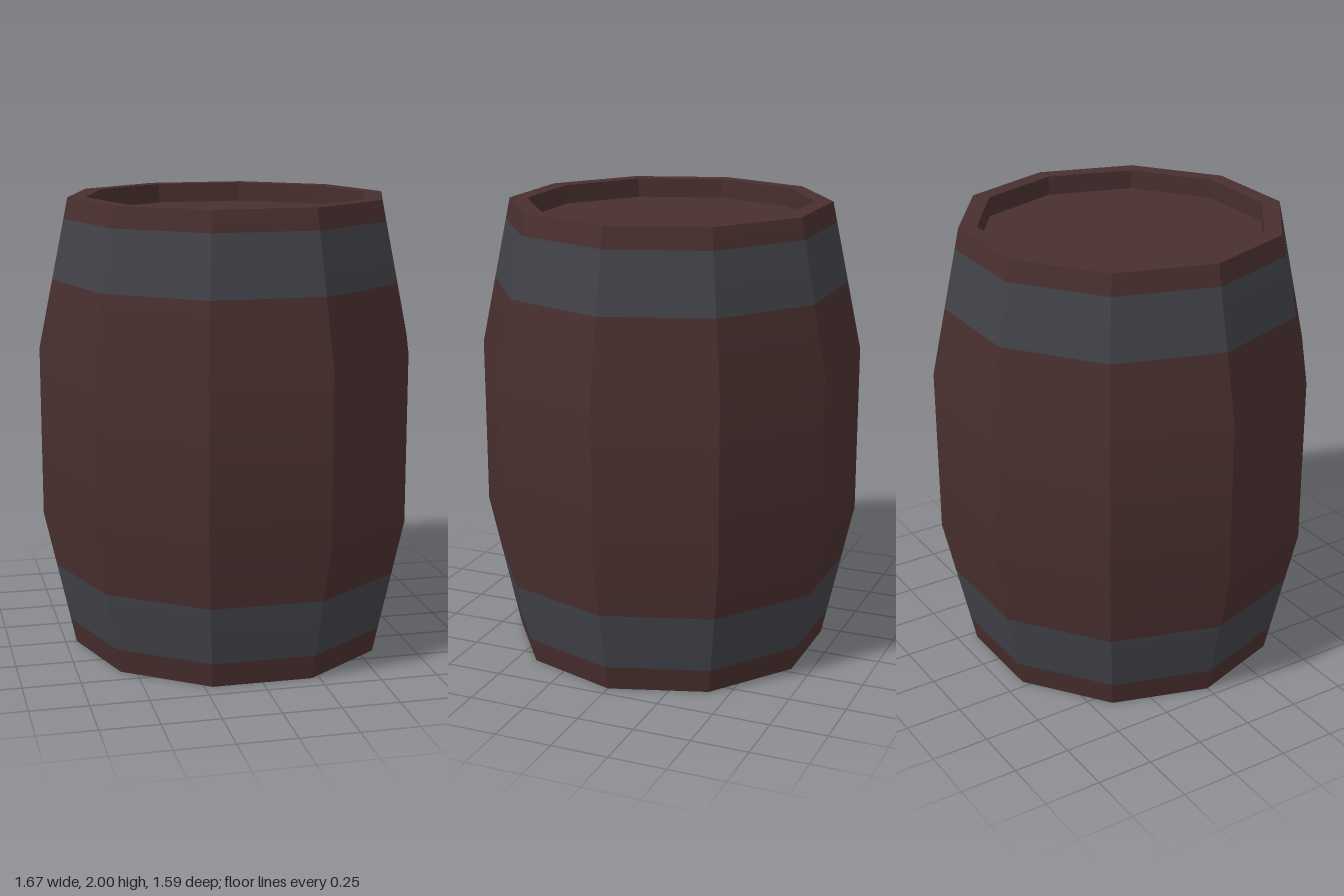
import * as THREE from 'three';

const SIDES = 10;
const END_R = 0.7, BELLY_R = 0.835, INNER_R = 0.622, RECESS = 0.085;
const LOW = 0.615, HIGH = 1.355, TOP = 2;

// Barrel radius at a height: straight belly with tapered ends
function radiusAt(y) {
  const t = y < LOW ? y / LOW : y > HIGH ? (TOP - y) / (TOP - HIGH) : 1;
  return THREE.MathUtils.lerp(END_R, BELLY_R, t);
}

// Upward lean of the surface normal, so each stave is smooth along its length
function leanAt(y) {
  const lean = 0.21;
  if (y < LOW) return -lean + (lean / 2) * (y / LOW);
  if (y > HIGH) return lean / 2 + (lean / 2) * ((y - HIGH) / (TOP - HIGH));
  return lean * ((y - LOW) / (HIGH - LOW) - 0.5);
}

// Strip of flat staves through the given heights, with hard vertical edges
function staveGeometry(heights) {
  const pos = [], nor = [], idx = [];
  for (let s = 0; s < SIDES; s++) {
    const step = (Math.PI * 2) / SIDES;
    const mid = (s + 0.5) * step;
    const base = pos.length / 3;
    heights.forEach((y, i) => {
      const r = radiusAt(y), lean = leanAt(y);
      for (const a of [s * step, (s + 1) * step]) {
        pos.push(r * Math.sin(a + Math.PI / 2), y, r * Math.cos(a + Math.PI / 2));
        nor.push(
          Math.sin(mid + Math.PI / 2) * Math.cos(lean),
          Math.sin(lean),
          Math.cos(mid + Math.PI / 2) * Math.cos(lean)
        );
      }
      if (i > 0) {
        const b = base + (i - 1) * 2;
        idx.push(b, b + 1, b + 3, b, b + 3, b + 2);
      }
    });
  }
  const geo = new THREE.BufferGeometry();
  geo.setAttribute('position', new THREE.Float32BufferAttribute(pos, 3));
  geo.setAttribute('normal', new THREE.Float32BufferAttribute(nor, 3));
  geo.setIndex(idx);
  return geo;
}

// Rim, recess wall and sunken lid
function lidGeometry() {
  const profile = [
    [END_R, 0], [INNER_R, 0], [INNER_R, -RECESS], [0, -RECESS],
  ].map(([r, y]) => new THREE.Vector2(r, y));
  const geo = new THREE.LatheGeometry(profile, SIDES, Math.PI / 2).toNonIndexed();
  geo.computeVertexNormals();
  return geo;
}

export function createModel() {
  const wood = new THREE.MeshStandardMaterial({ color: 0x482f2e });
  wood.name = 'dark brown wood';
  const iron = new THREE.MeshStandardMaterial({ color: 0x414248 });
  iron.name = 'grey iron';

  const barrel = new THREE.Group();
  barrel.name = 'barrel';
  const add = (name, geo, mat) => {
    const mesh = new THREE.Mesh(geo, mat);
    mesh.name = name;
    barrel.add(mesh);
    return mesh;
  };

  // Staves and hoops, bottom to top
  add('bottomStaveEnds', staveGeometry([0, 0.11]), wood);
  add('lowerHoop', staveGeometry([0.11, 0.37]), iron);
  add('staves', staveGeometry([0.37, LOW, HIGH, 1.65]), wood);
  add('upperHoop', staveGeometry([1.65, 1.91]), iron);
  add('topStaveEnds', staveGeometry([1.91, TOP]), wood);

  // Recessed ends
  add('topLid', lidGeometry(), wood).position.y = TOP;
  add('bottomLid', lidGeometry(), wood).rotation.x = Math.PI;

  return barrel;
}
